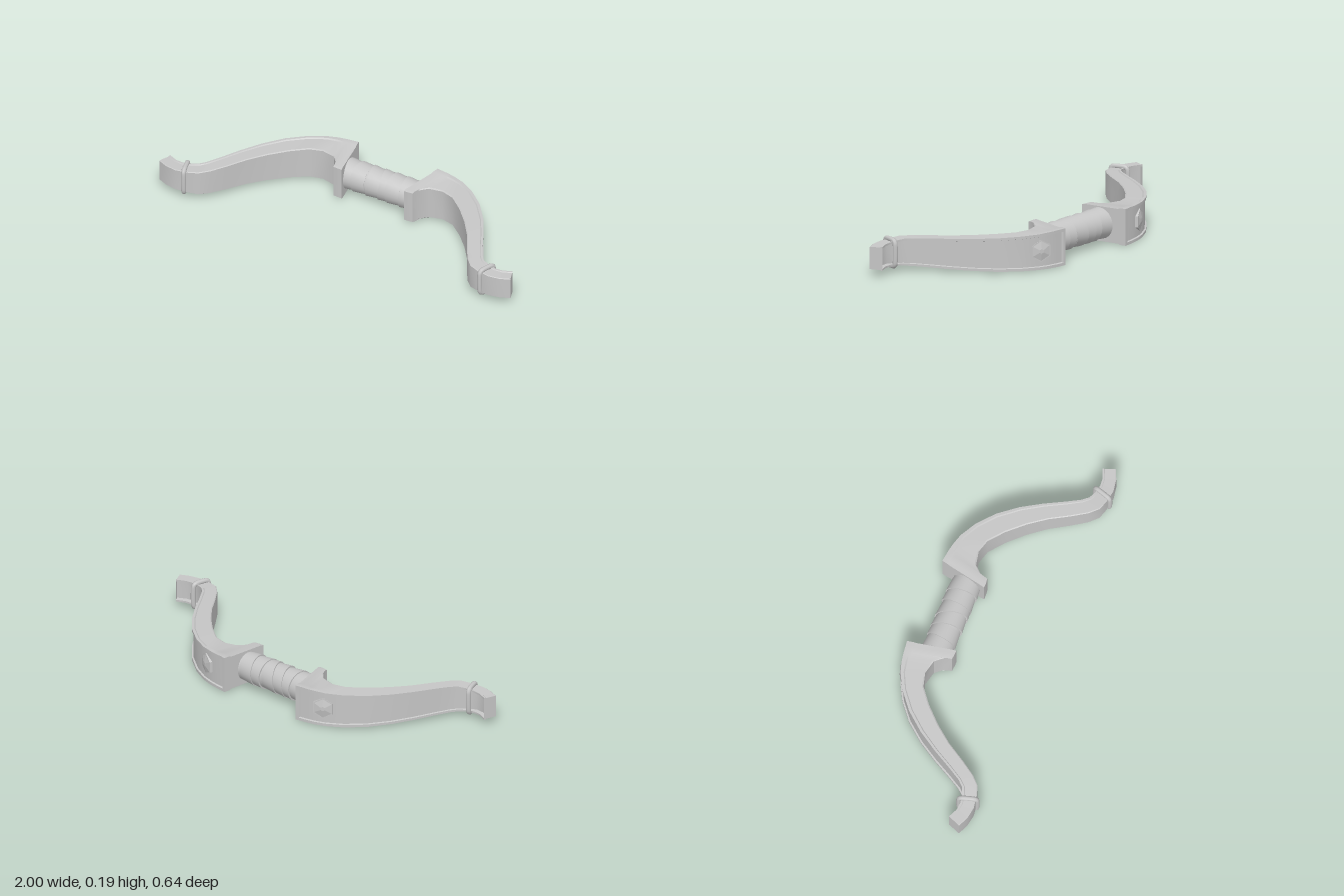
import * as THREE from 'three';
import { toCreasedNormals } from 'three/addons/utils/BufferGeometryUtils.js';

const MID = 0.093; // height of the centre plane

// limb stations: outer x, outer z, inner x, inner z, half height, recess of the outer face
const STATIONS = [
  [0.225, -0.32, 0.177, -0.08, 0.093, 0],
  [0.24, -0.318, 0.195, -0.08, 0.093, 0],
  [0.245, -0.317, 0.2, -0.08, 0.093, 0.008],
  [0.28, -0.313, 0.225, -0.083, 0.093, 0.008],
  [0.3, -0.31, 0.235, -0.12, 0.092, 0.008],
  [0.33, -0.304, 0.27, -0.16, 0.092, 0.008],
  [0.385, -0.288, 0.34, -0.176, 0.09, 0.008],
  [0.465, -0.245, 0.408, -0.157, 0.088, 0.008],
  [0.553, -0.173, 0.485, -0.095, 0.085, 0.008],
  [0.63, -0.08, 0.562, -0.015, 0.081, 0.008],
  [0.693, 0.02, 0.628, 0.07, 0.077, 0.008],
  [0.745, 0.115, 0.685, 0.165, 0.073, 0.008],
  [0.785, 0.183, 0.735, 0.24, 0.07, 0.008],
  [0.812, 0.213, 0.776, 0.281, 0.068, 0.008],
  [0.85, 0.23, 0.825, 0.297, 0.064, 0.012],
  [0.89, 0.237, 0.89, 0.307, 0.061, 0.022],
  [0.93, 0.233, 0.95, 0.297, 0.06, 0.022],
  [0.975, 0.213, 1.0, 0.275, 0.06, 0.022],
];

// curved limb with a rimmed outer face and bevelled edges
function limbGeometry(side) {
  const pos = [], index = [];
  for (const [ox, oz, ix, iz, h, recess] of STATIONS) {
    const r = recess / Math.hypot(ix - ox, iz - oz);
    const half = [[r, 0.82], [0, 0.85], [0, 1], [0.13, 1], [0.18, 0.945], [0.94, 0.945], [1, 0.9]];
    const loop = [...half, ...half.map(([u, v]) => [u, -v]).reverse()];
    for (const [u, v] of loop) {
      pos.push(side * (ox + (ix - ox) * u), MID + h * v, oz + (iz - oz) * u);
    }
  }
  const n = 14, last = (STATIONS.length - 1) * n;
  const quad = (a, b, c, d) => (side > 0
    ? index.push(a, b, c, a, c, d)
    : index.push(a, c, b, a, d, c));
  for (let i = 0; i < STATIONS.length - 1; i++) {
    for (let j = 0; j < n; j++) {
      const k = (j + 1) % n;
      quad(i * n + j, i * n + k, (i + 1) * n + k, (i + 1) * n + j);
    }
  }
  for (let j = 0; j < n / 2 - 1; j++) {
    quad(n - 1 - j, n - 2 - j, j + 1, j);
    quad(last + j, last + j + 1, last + n - 2 - j, last + n - 1 - j);
  }
  const g = new THREE.BufferGeometry();
  g.setAttribute('position', new THREE.Float32BufferAttribute(pos, 3));
  g.setIndex(index);
  return toCreasedNormals(g, 0.55);
}

// rounded rectangular binding around the limb tip
function bindingGeometry() {
  const w = 0.044, h = 0.065, c = 0.018;
  const pts = [];
  [[1, 1], [-1, 1], [-1, -1], [1, -1]].forEach(([sx, sy], q) => {
    for (let k = 0; k <= 3; k++) {
      const a = (q + k / 3) * Math.PI / 2;
      pts.push(new THREE.Vector3(0, sy * (h - c) + c * Math.sin(a), sx * (w - c) + c * Math.cos(a)));
    }
  });
  return new THREE.TubeGeometry(new THREE.CatmullRomCurve3(pts, true), 40, 0.0125, 8, true);
}

export function createModel() {
  const model = new THREE.Group();
  const grey = new THREE.MeshStandardMaterial({ color: 0xc6c6c6 });
  grey.name = 'grey';
  const add = (name, geometry, parent = model) => {
    const mesh = new THREE.Mesh(geometry, grey);
    mesh.name = name;
    parent.add(mesh);
    return mesh;
  };

  // grip core and slanted overlapping wrap bands
  const grip = new THREE.Group();
  grip.name = 'grip';
  grip.position.set(0, MID + 0.004, -0.178);
  model.add(grip);
  add('gripCore', new THREE.CylinderGeometry(0.071, 0.071, 0.4, 24).rotateZ(Math.PI / 2), grip);
  const slants = [0.05, -0.12, 0.16, 0.26, -0.06, 0.1];
  slants.forEach((slant, i) => {
    const band = new THREE.CylinderGeometry(0.079, 0.072, 0.074, 24).rotateZ(Math.PI / 2);
    band.applyMatrix4(new THREE.Matrix4().makeShear(0, 0, slant * 0.5, 0, slant, 0));
    const mesh = add('wrapBand', toCreasedNormals(band, 0.6), grip);
    mesh.position.x = -0.16 + i * 0.064;
  });

  for (const side of [1, -1]) {
    const label = side > 0 ? 'left' : 'right';
    add(label + 'Limb', limbGeometry(side));

    // binding near the tip
    const binding = add(label + 'Binding', bindingGeometry());
    binding.position.set(side * 0.857, MID + 0.002, 0.263);
    binding.rotation.y = -side * 0.3;

    // hexagonal stud on the outer face
    const stud = new THREE.Group();
    stud.name = label + 'Stud';
    stud.position.set(side * 0.364, MID + 0.003, -0.275);
    stud.rotation.y = Math.PI - side * 0.48;
    model.add(stud);
    const disc = (r1, r2, depth, z) => toCreasedNormals(
      new THREE.CylinderGeometry(r1, r2, depth, 6).rotateX(Math.PI / 2).translate(0, 0, z), 0.1);
    add('studBase', disc(0.056, 0.056, 0.03, 0), stud);
    add('studCrown', disc(0.012, 0.05, 0.008, 0.019), stud);
  }
  return model;
}
